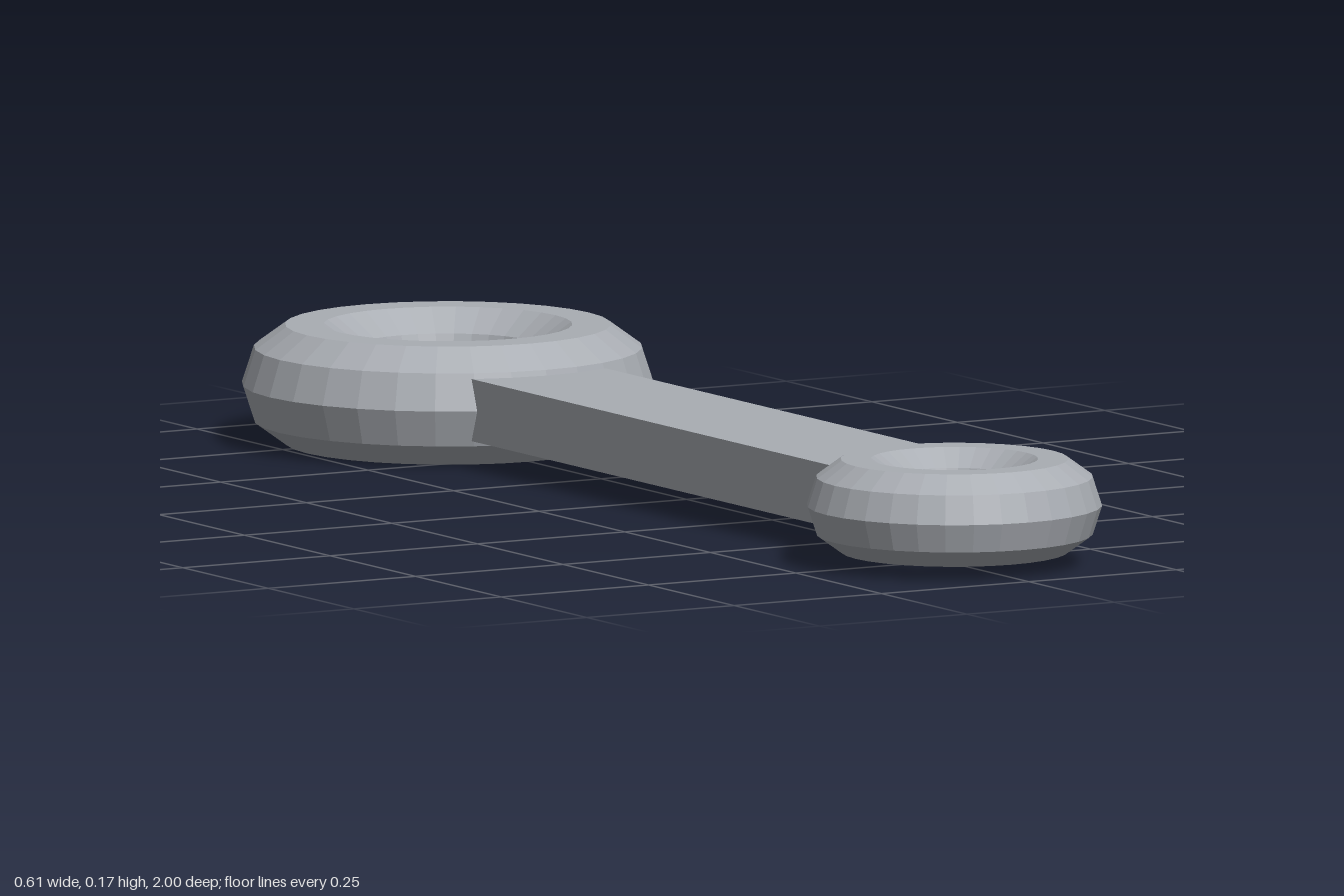
import * as THREE from 'three';

export function createModel() {
  const model = new THREE.Group();
  model.name = 'connectingRod';
  const steel = new THREE.MeshStandardMaterial({ color: 0xa9adb3 });
  steel.name = 'steel grey';
  steel.flatShading = true;
  const midY = 0.088;

  // Faceted ring lying flat
  function addRing(name, radius, tube, z) {
    const geometry = new THREE.TorusGeometry(radius, tube, 10, 32);
    geometry.rotateX(-Math.PI / 2);
    const ring = new THREE.Mesh(geometry, steel);
    ring.name = name;
    ring.position.set(0, midY, z);
    model.add(ring);
  }
  addRing('largeEndRing', 0.211, 0.092, -0.697);
  addRing('smallEndRing', 0.145, 0.072, 0.783);

  // Flat bar, its ends buried in the rings
  const backZ = -0.47, frontZ = 0.65;
  const bar = new THREE.Mesh(new THREE.BoxGeometry(0.227, 0.092, frontZ - backZ), steel);
  bar.name = 'shaft';
  bar.position.set(0, midY, (frontZ + backZ) / 2);
  model.add(bar);

  return model;
}
